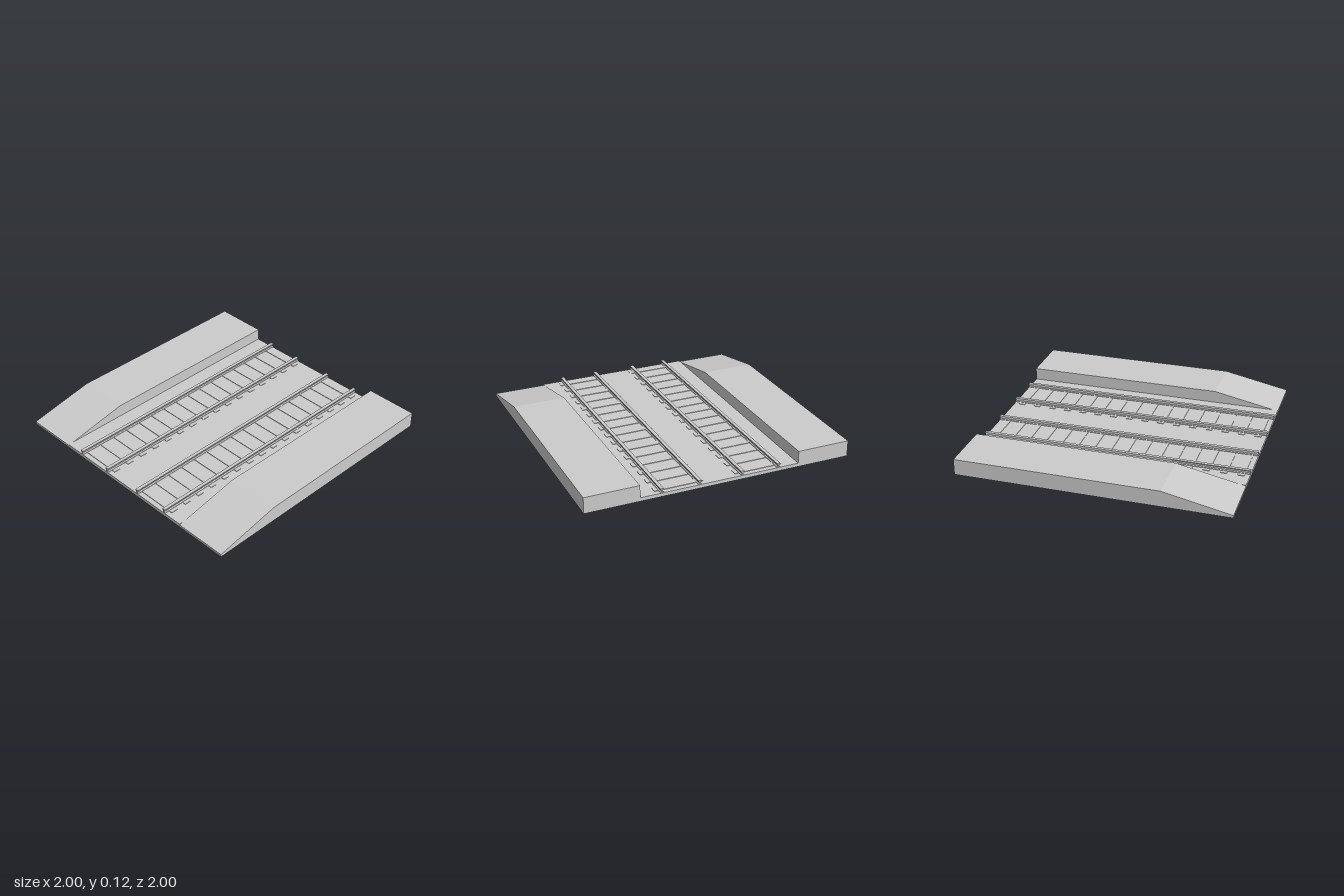
import * as THREE from 'three';

const BED_TOP = 0.027;
const TRACK_Z = 0.302;   // centre line of each track
const GAUGE = 0.28;      // distance between rail centres
const SLEEPERS = 16;

const material = new THREE.MeshStandardMaterial({ color: 0xcccccc, flatShading: true });

function add(parent, name, geometry, x = 0, y = 0, z = 0) {
  const mesh = new THREE.Mesh(geometry, material);
  mesh.name = name;
  mesh.position.set(x, y, z);
  parent.add(mesh);
  return mesh;
}

function extrude(points, depth) {
  const shape = new THREE.Shape(points.map(([x, y]) => new THREE.Vector2(x, y)));
  return new THREE.ExtrudeGeometry(shape, { depth, bevelEnabled: false });
}

// Rail section: foot, narrow web and head, running along x
function railGeometry() {
  const half = [[0.012, 0], [0.012, 0.004], [0.004, 0.009], [0.004, 0.02],
    [0.0125, 0.024], [0.0125, 0.031]];
  const mirrored = half.map(([x, y]) => [-x, y]).reverse();
  const geometry = extrude([...half, ...mirrored], 2);
  geometry.translate(0, 0, -1);
  geometry.rotateY(Math.PI / 2);
  return geometry;
}

function createTrack(rail, sleeper) {
  const track = new THREE.Group();
  track.name = 'track';
  const pitch = 2 / SLEEPERS;
  for (let i = 0; i < SLEEPERS; i++) {
    add(track, 'sleeper', sleeper, -1 + (i + 0.5) * pitch, BED_TOP, 0);
  }
  for (const side of [-1, 1]) add(track, 'rail', rail, 0, BED_TOP + 0.003, side * GAUGE / 2);
  return track;
}

export function createModel() {
  const model = new THREE.Group();
  model.name = 'railwayStation';

  // Flat track bed between the platforms
  add(model, 'trackBed', new THREE.BoxGeometry(2, BED_TOP, 1.2), 0, BED_TOP / 2, 0);

  // Platforms ramp down towards -x
  const platform = extrude([[-1, 0], [1, 0], [1, 0.12], [-0.5, 0.12], [-1, 0.02]], 0.4);
  add(model, 'frontPlatform', platform, 0, 0, 0.6);
  add(model, 'backPlatform', platform, 0, 0, -1);

  // Two parallel tracks
  const rail = railGeometry();
  const sleeper = new THREE.BoxGeometry(0.05, 0.008, 0.36);
  for (const side of [-1, 1]) {
    const track = createTrack(rail, sleeper);
    track.position.z = side * TRACK_Z;
    model.add(track);
  }
  return model;
}
